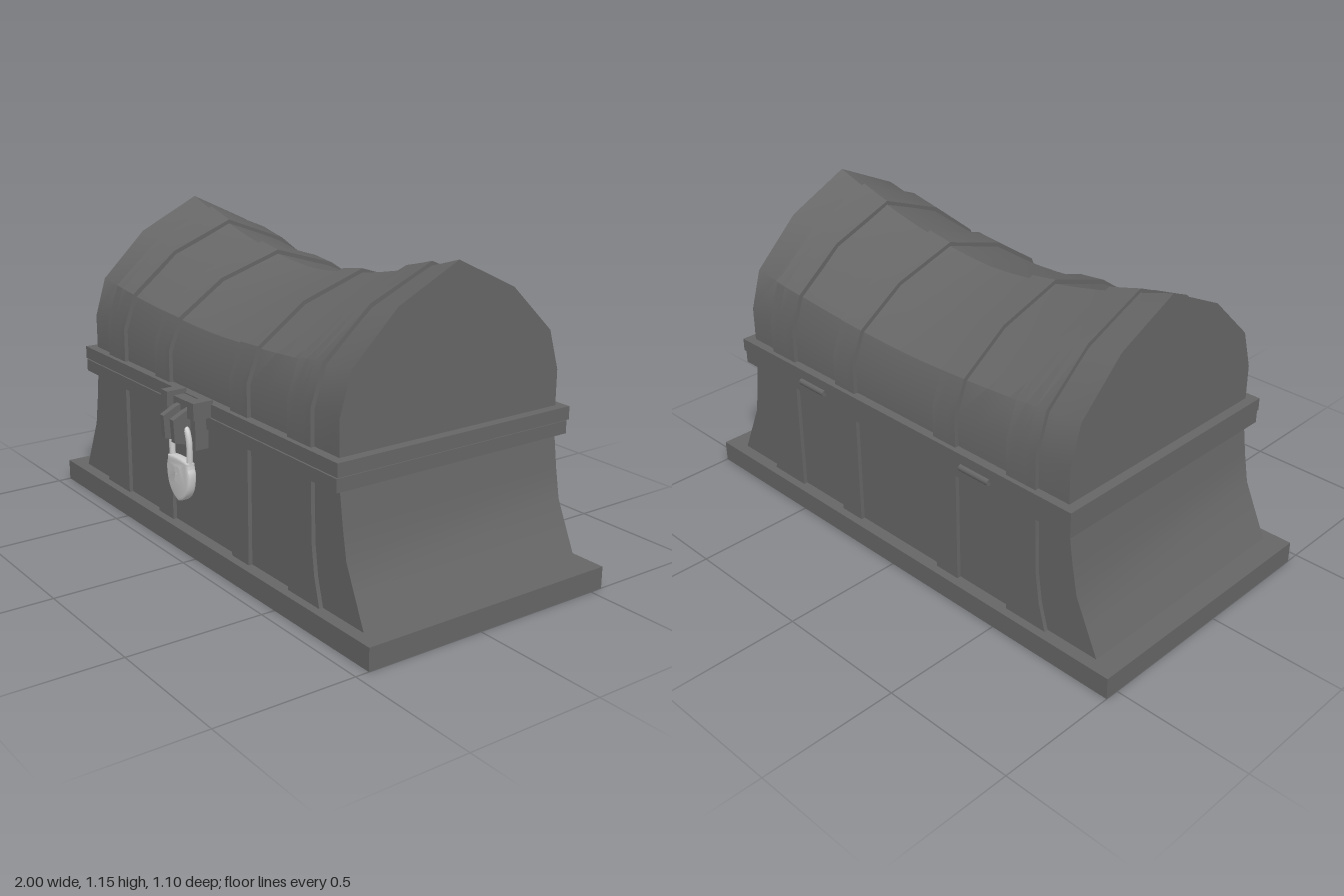
import * as THREE from 'three';
import { toCreasedNormals } from 'three/addons/utils/BufferGeometryUtils.js';

const CZ = -0.05; // middle of the chest in depth
const dark = new THREE.MeshStandardMaterial({ color: 0x666666 });
const light = new THREE.MeshStandardMaterial({ color: 0xcccccc });

function add(parent, name, geometry, material = dark) {
  const mesh = new THREE.Mesh(geometry, material);
  mesh.name = name;
  parent.add(mesh);
  return mesh;
}

// Box given by its extents on each axis
function box(parent, name, x0, x1, y0, y1, z0, z1) {
  const mesh = add(parent, name, new THREE.BoxGeometry(x1 - x0, y1 - y0, z1 - z0));
  mesh.position.set((x0 + x1) / 2, (y0 + y1) / 2, (z0 + z1) / 2);
  return mesh;
}

// Outline in x/y extruded between two depths
function slab(points, z0, z1) {
  const shape = new THREE.Shape(points.map(([x, y]) => new THREE.Vector2(x, y)));
  const g = new THREE.ExtrudeGeometry(shape, { depth: z1 - z0, bevelEnabled: false });
  g.translate(0, 0, z0);
  return toCreasedNormals(g, 0.6);
}

// Lid cross-section at x: an angular arch that sags toward the middle
const HALF_ARCH = [[0.455, 0.56], [0.455, 0.73], [0.412, 0.872], [0.238, 1.04], [0, 1.155]];
function lidSection(x, raise) {
  const sag = 0.155 * (1 - Math.pow(Math.abs(x) / 0.785, 1.68));
  const half = HALF_ARCH.map(([z, y]) => {
    const t = Math.max(0, (y - 0.6) / 0.555);
    return [z * (1 + raise / 0.455), y - sag * Math.pow(t, 1.5) + raise * Math.sqrt(t)];
  });
  const back = half.slice(0, -1).reverse().map(([z, y]) => [-z, y]);
  return [...half, ...back].map(([z, y]) => [x, y, z + CZ]);
}

// Skin the lid sections from x0 to x1 and close both ends
function lidLoft(x0, x1, raise, steps) {
  const pos = [];
  const rings = [];
  for (let i = 0; i <= steps; i++) rings.push(lidSection(x0 + ((x1 - x0) * i) / steps, raise));
  const n = rings[0].length;
  const tri = (...corners) => corners.forEach((p) => pos.push(...p));
  for (let i = 0; i < steps; i++) {
    for (let j = 0; j < n - 1; j++) {
      const a = rings[i][j], b = rings[i + 1][j], c = rings[i + 1][j + 1], d = rings[i][j + 1];
      tri(a, b, c);
      tri(a, c, d);
    }
  }
  const first = rings[0], last = rings[steps];
  for (let j = 1; j < n - 1; j++) {
    tri(first[0], first[j], first[j + 1]);
    tri(last[0], last[j + 1], last[j]);
  }
  const g = new THREE.BufferGeometry();
  g.setAttribute('position', new THREE.Float32BufferAttribute(pos, 3));
  return toCreasedNormals(g, 0.55);
}

function padlock() {
  const lock = new THREE.Group();
  lock.name = 'padlock';

  // Shield-shaped body with a keyhole
  const shield = () => {
    const s = new THREE.Shape();
    s.moveTo(-0.06, 0.385);
    s.quadraticCurveTo(0, 0.395, 0.06, 0.385);
    s.quadraticCurveTo(0.06, 0.37, 0.067, 0.355);
    s.bezierCurveTo(0.068, 0.29, 0.045, 0.26, 0, 0.245);
    s.bezierCurveTo(-0.045, 0.26, -0.068, 0.29, -0.067, 0.355);
    s.quadraticCurveTo(-0.06, 0.37, -0.06, 0.385);
    return s;
  };
  const front = shield();
  const hole = new THREE.Path();
  hole.moveTo(-0.022, 0.305);
  hole.lineTo(-0.012, 0.338);
  hole.absarc(0, 0.348, 0.017, Math.PI * 1.2, -Math.PI * 0.2, true);
  hole.lineTo(0.022, 0.305);
  hole.closePath();
  front.holes.push(hole);
  const body = new THREE.ExtrudeGeometry(front, {
    depth: 0.018, bevelThickness: 0.008, bevelSize: 0.008, bevelSegments: 3, curveSegments: 10,
  });
  body.translate(0, 0, 0.488);
  add(lock, 'lockBody', toCreasedNormals(body, 0.6), light);
  const core = new THREE.ExtrudeGeometry(shield(), { depth: 0.016, bevelEnabled: false, curveSegments: 10 });
  core.translate(0, 0, 0.489);
  add(lock, 'lockCore', core, light);

  // Shackle
  const path = new THREE.CatmullRomCurve3(
    [[-0.057, 0.38], [-0.057, 0.47], [-0.04, 0.51], [0, 0.525], [0.04, 0.51], [0.057, 0.47], [0.057, 0.38]]
      .map(([x, y]) => new THREE.Vector3(x, y, 0.497)),
  );
  add(lock, 'shackle', new THREE.TubeGeometry(path, 32, 0.011, 10), light);
  return lock;
}

export function createModel() {
  const chest = new THREE.Group();
  chest.name = 'chest';

  // Plinth
  box(chest, 'base', -1, 1, 0, 0.08, -0.55, 0.45);

  // Flared body
  const side = [[0.92, 0.07], [0.87, 0.18], [0.825, 0.28], [0.805, 0.39], [0.785, 0.53]];
  const mirrored = side.slice().reverse().map(([x, y]) => [-x, y]);
  add(chest, 'body', slab([...side, ...mirrored], CZ - 0.455, CZ + 0.455));

  // Bands on the body and lid, mirrored left and right
  const outerBand = [[0.535, 0.07], [0.71, 0.07], [0.68, 0.18], [0.665, 0.29], [0.66, 0.53], [0.535, 0.53]];
  const innerBand = [[0.2, 0.07], [0.303, 0.07], [0.303, 0.53], [0.2, 0.53]];
  for (const s of [1, -1]) {
    for (const [name, outline] of [['outerBodyBand', outerBand], ['innerBodyBand', innerBand]]) {
      const pts = outline.map(([x, y]) => [s * x, y]);
      add(chest, name, slab(pts, CZ - 0.47, CZ + 0.47));
    }
    for (const [name, a, b] of [['outerLidBand', 0.532, 0.658], ['innerLidBand', 0.2, 0.303]]) {
      add(chest, name, lidLoft(Math.min(s * a, s * b), Math.max(s * a, s * b), 0.015, 3));
    }
    // Rear hinge barrel
    const hinge = add(chest, 'hinge', new THREE.CylinderGeometry(0.012, 0.012, 0.13, 12));
    hinge.rotation.z = Math.PI / 2;
    hinge.position.set(s * 0.41, 0.556, -0.537);
  }

  // Lid
  add(chest, 'lid', lidLoft(-0.785, 0.785, 0, 16));

  // Rims where lid and body meet
  box(chest, 'lowerRim', -0.815, 0.815, 0.507, 0.553, -0.532, 0.438);
  box(chest, 'rimGap', -0.805, 0.805, 0.55, 0.56, -0.525, 0.428);
  box(chest, 'upperRim', -0.82, 0.82, 0.557, 0.604, -0.537, 0.438);

  // Hasp: hinge blocks, plate and two prongs
  const hasp = new THREE.Group();
  hasp.name = 'hasp';
  chest.add(hasp);
  for (const s of [1, -1]) {
    box(hasp, 'haspBlock', s * 0.0875 - 0.021, s * 0.0875 + 0.021, 0.557, 0.618, 0.43, 0.508);
    const prong = slab([[-0.45, 0.59], [-0.5, 0.575], [-0.55, 0.55], [-0.545, 0.468], [-0.5, 0.455], [-0.45, 0.455]], -0.012, 0.012);
    prong.rotateY(Math.PI / 2);
    prong.translate(s * 0.033, 0, 0);
    add(hasp, 'haspProng', prong);
  }
  box(hasp, 'haspPlate', -0.093, 0.075, 0.437, 0.6, 0.43, 0.482);
  chest.add(padlock());

  return chest;
}
